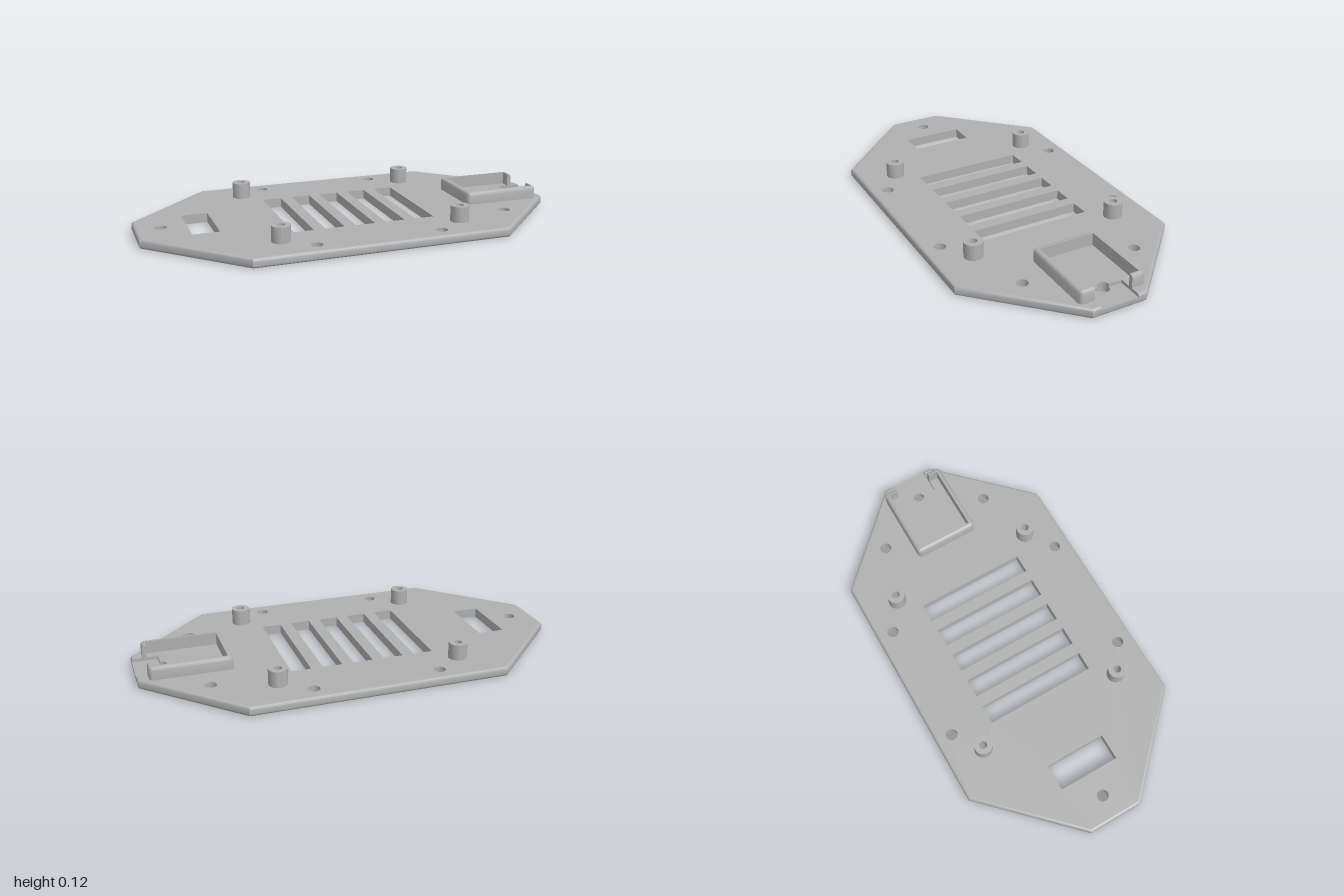
import * as THREE from 'three';
import { toCreasedNormals } from 'three/addons/utils/BufferGeometryUtils.js';

const TOP = 0.045, STEP = 0.03;            // plate top, sunken notch floor
const NX = 0.88, NZ = 0.09, HOLE = 0.027;  // notch start, half width, screw hole radius

export function createModel() {
  const group = new THREE.Group();
  const grey = new THREE.MeshStandardMaterial({ color: 0xb0b0b0, side: THREE.DoubleSide });
  grey.name = 'grey plastic';

  const add = (name, geometry) => {
    const mesh = new THREE.Mesh(toCreasedNormals(geometry, 0.6), grey);
    mesh.name = name;
    group.add(mesh);
    return mesh;
  };

  // Flat shape in x, z raised between two heights
  const slab = (shape, y0, y1) => new THREE.ExtrudeGeometry(shape, { depth: y1 - y0, bevelEnabled: false, curveSegments: 12 })
    .rotateX(Math.PI / 2).translate(0, y1, 0);

  // Skin over rows of points; open rows get end caps
  const loft = (rows, closed) => {
    const pos = [], n = rows[0].length;
    const tri = (a, b, c) => pos.push(...a, ...b, ...c);
    for (let r = 0; r < rows.length - 1; r++) {
      for (let i = 0; i < (closed ? n : n - 1); i++) {
        const j = (i + 1) % n, a = rows[r], b = rows[r + 1];
        tri(a[i], b[i], a[j]);
        tri(b[i], b[j], a[j]);
      }
    }
    if (!closed) {
      const base = rows[0], top = rows[rows.length - 1];
      for (const i of [0, n - 1]) {
        const corner = [top[i][0], base[i][1], top[i][2]];
        for (let r = 0; r < rows.length - 1; r++) {
          if (i === 0) tri(corner, rows[r + 1][i], rows[r][i]);
          else tri(corner, rows[r][i], rows[r + 1][i]);
        }
      }
    }
    const g = new THREE.BufferGeometry();
    g.setAttribute('position', new THREE.Float32BufferAttribute(pos, 3));
    g.computeVertexNormals();
    return g;
  };

  // Quarter round as [inset, height below the top]
  const quarter = (r) => [0, 1, 2, 3].map((k) => {
    const a = (k * Math.PI) / 6;
    return [r * (1 - Math.cos(a)), r * (1 - Math.sin(a))];
  });

  // Octagonal plate outline, moved inwards by d
  const octagon = (d) => {
    const t = d * Math.tan(Math.PI / 8);
    const ex = 1 - d, ez = 0.535 - d, cz = 0.13 - t, cx = 0.595 - t;
    return { ex, points: [[ex, cz], [cx, ez], [-cx, ez], [-ex, cz], [-ex, -cz], [-cx, -ez], [cx, -ez], [ex, -cz]] };
  };
  const vectors = (list) => list.map(([x, z]) => new THREE.Vector2(x, z));

  // Openings through the plate
  const rect = (x0, x1, z0, z1) => new THREE.Path(vectors([[x0, z0], [x1, z0], [x1, z1], [x0, z1]]));
  const circle = (x, z, r) => new THREE.Path().absarc(x, z, r, 0, Math.PI * 2, false);
  const openings = [rect(-0.77, -0.645, -0.147, 0.145)];
  for (let i = -2; i <= 2; i++) openings.push(rect(i * 0.147 - 0.046, i * 0.147 + 0.046, -0.265, 0.265));
  openings.push(circle(-0.885, 0, HOLE));
  const posts = [];
  for (const s of [-1, 1]) {
    for (const [x, z] of [[-0.295, 0.456], [0.292, 0.456], [0.705, 0.28]]) openings.push(circle(x, s * z, HOLE));
    for (const x of [-0.426, 0.426]) {
      posts.push([x, s * 0.361]);
      openings.push(circle(x, s * 0.361, 0.018));
    }
  }

  // Plate core: full lower layer, upper layer with the connector notch
  const R = 0.012;
  const inner = octagon(R);
  const lower = new THREE.Shape(vectors(inner.points));
  lower.holes = [...openings, circle(NX, 0, HOLE)];
  add('plateLower', slab(lower, 0, STEP));

  const bite = [];
  for (let k = 0; k <= 12; k++) {
    const a = -Math.PI / 2 - (k * Math.PI) / 12;
    bite.push([NX + HOLE * Math.cos(a), HOLE * Math.sin(a)]);
  }
  const upper = new THREE.Shape(vectors([...inner.points,
    [inner.ex, -NZ], [NX, -NZ], ...bite, [NX, NZ], [inner.ex, NZ]]));
  upper.holes = openings;
  add('plateUpper', slab(upper, STEP, TOP));

  // Rounded plate rim, dipping at the notch
  const rimProfile = [
    ...quarter(R).reverse().map(([d, y]) => [d, y]),
    ...quarter(R).map(([d, y]) => [d, TOP - y]),
  ];
  const rimRows = rimProfile.map(([d, y]) => {
    const { ex, points } = octagon(d), low = Math.min(y, STEP);
    return [...points.map(([x, z]) => [x, y, z]),
      [ex, y, -NZ], [ex, low, -NZ], [ex, low, NZ], [ex, y, NZ]];
  });
  add('plateRim', loft(rimRows, true));

  // Connector tray: rounded outer skin around a C-shaped wall
  const X0 = 0.573, X1 = 0.95, Z = 0.158, HEIGHT = 0.105, TR = 0.015, CORNER = 0.02;
  const trayPath = (d) => {
    const path = [[X1 - d, NZ]];
    const c = CORNER - d;
    [[X1, Z], [X0, Z], [X0, -Z], [X1, -Z]].forEach(([x, z], q) => {
      const cx = x === X1 ? X1 - CORNER : X0 + CORNER, cz = z - Math.sign(z) * CORNER;
      for (let k = 0; k <= 4; k++) {
        const a = (q + k / 4) * Math.PI / 2;
        path.push([cx + c * Math.cos(a), cz + c * Math.sin(a)]);
      }
    });
    path.push([X1 - d, -NZ]);
    return path;
  };
  const trayProfile = [[0, TOP], ...quarter(TR).map(([d, y]) => [d, HEIGHT - y])];
  add('trayRim', loft(trayProfile.map(([d, y]) => trayPath(d).map(([x, z]) => [x, y, z])), false));

  const IX0 = 0.597, IX1 = 0.93, IZ = 0.135;
  const wall = new THREE.Shape(vectors([...trayPath(TR),
    [IX1, -NZ], [IX1, -IZ], [IX0, -IZ], [IX0, IZ], [IX1, IZ], [IX1, NZ]]));
  add('trayWall', slab(wall, TOP, HEIGHT));

  // Hollow mounting posts
  for (const [x, z] of posts) {
    const profile = [[0.043, TOP], [0.043, 0.12], [0.018, 0.12], [0.018, TOP]];
    add('mountingPost', new THREE.LatheGeometry(vectors(profile), 28)).position.set(x, 0, z);
  }

  return group;
}
